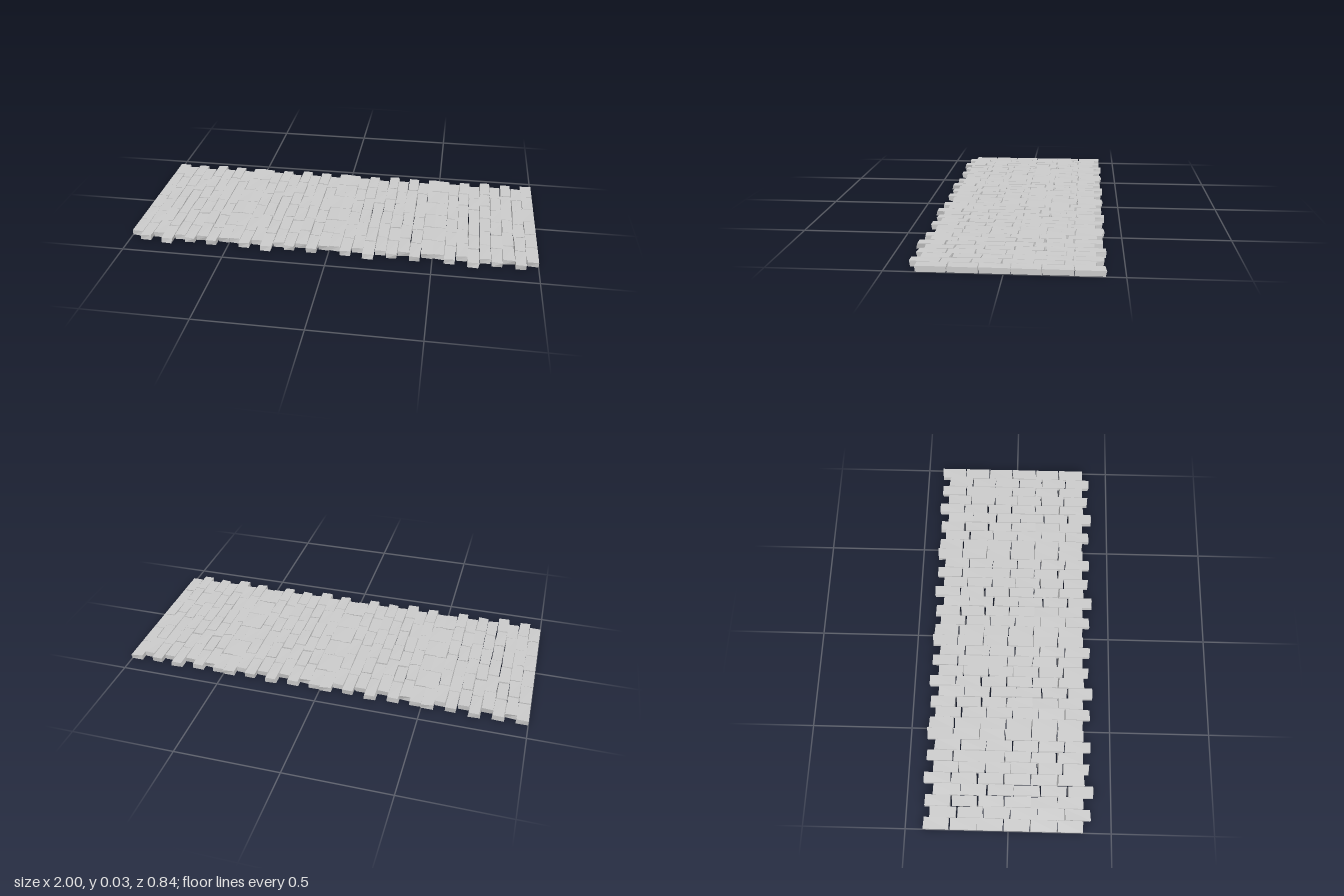
import * as THREE from 'three';

const HEIGHT = 0.027;
const SECTION = 0.5; // the paving pattern repeats four times along x
const ROWS = 6;
// back and front end of each brick column in one section
const COLUMNS = [
  [-0.415, 0.367], [-0.385, 0.402], [-0.413, 0.368], [-0.372, 0.416], [-0.422, 0.37],
  [-0.38, 0.394], [-0.415, 0.364], [-0.38, 0.4], [-0.42, 0.365],
];

function makeRandom(seed) {
  let s = seed;
  return (range) => {
    s = (s * 16807) % 2147483647;
    return (s / 2147483647 - 0.5) * 2 * range;
  };
}

// Rough-cut brick: a box whose corners are shifted, top and bottom separately
function brickGeometry(width, length, random, outerSide) {
  const geometry = new THREE.BoxGeometry(width, HEIGHT, length);
  const corners = Array.from({ length: 8 }, () => [random(0.003), random(0.0008), random(0.004)]);
  const p = geometry.attributes.position;
  for (let i = 0; i < p.count; i++) {
    const x = p.getX(i), y = p.getY(i), z = p.getZ(i);
    const [dx, dy, dz] = corners[(x > 0 ? 1 : 0) + (y > 0 ? 2 : 0) + (z > 0 ? 4 : 0)];
    const onOuterEdge = outerSide !== 0 && Math.sign(x) === outerSide;
    p.setXYZ(i,
      x + (onOuterEdge ? 0 : dx),
      y - Math.sign(y) * (0.0008 + dy),
      z + dz);
  }
  geometry.computeVertexNormals();
  return geometry;
}

export function createModel() {
  const model = new THREE.Group();
  model.name = 'brickPath';
  const material = new THREE.MeshStandardMaterial({ color: 0xcccccc, flatShading: true });
  const columnWidth = SECTION / COLUMNS.length;

  // One section of staggered brick columns
  const section = new THREE.Group();
  const random = makeRandom(4711);
  COLUMNS.forEach(([back, front], c) => {
    const pitch = (front - back) / ROWS;
    const outerSide = c === 0 ? -1 : c === COLUMNS.length - 1 ? 1 : 0;
    for (let r = 0; r < ROWS; r++) {
      const gap = 0.003 + Math.abs(random(0.004));
      const width = columnWidth - (outerSide ? 0 : 0.002);
      const brick = new THREE.Mesh(brickGeometry(width, pitch - gap, random, outerSide), material);
      brick.name = 'brick';
      brick.position.set((c + 0.5) * columnWidth, HEIGHT / 2, back + (r + 0.5) * pitch);
      section.add(brick);
    }
  });

  // Repeat the section along the path
  for (let i = 0; i < 4; i++) {
    const copy = section.clone();
    copy.name = 'pathSection';
    copy.position.x = -1 + i * SECTION;
    model.add(copy);
  }
  return model;
}
